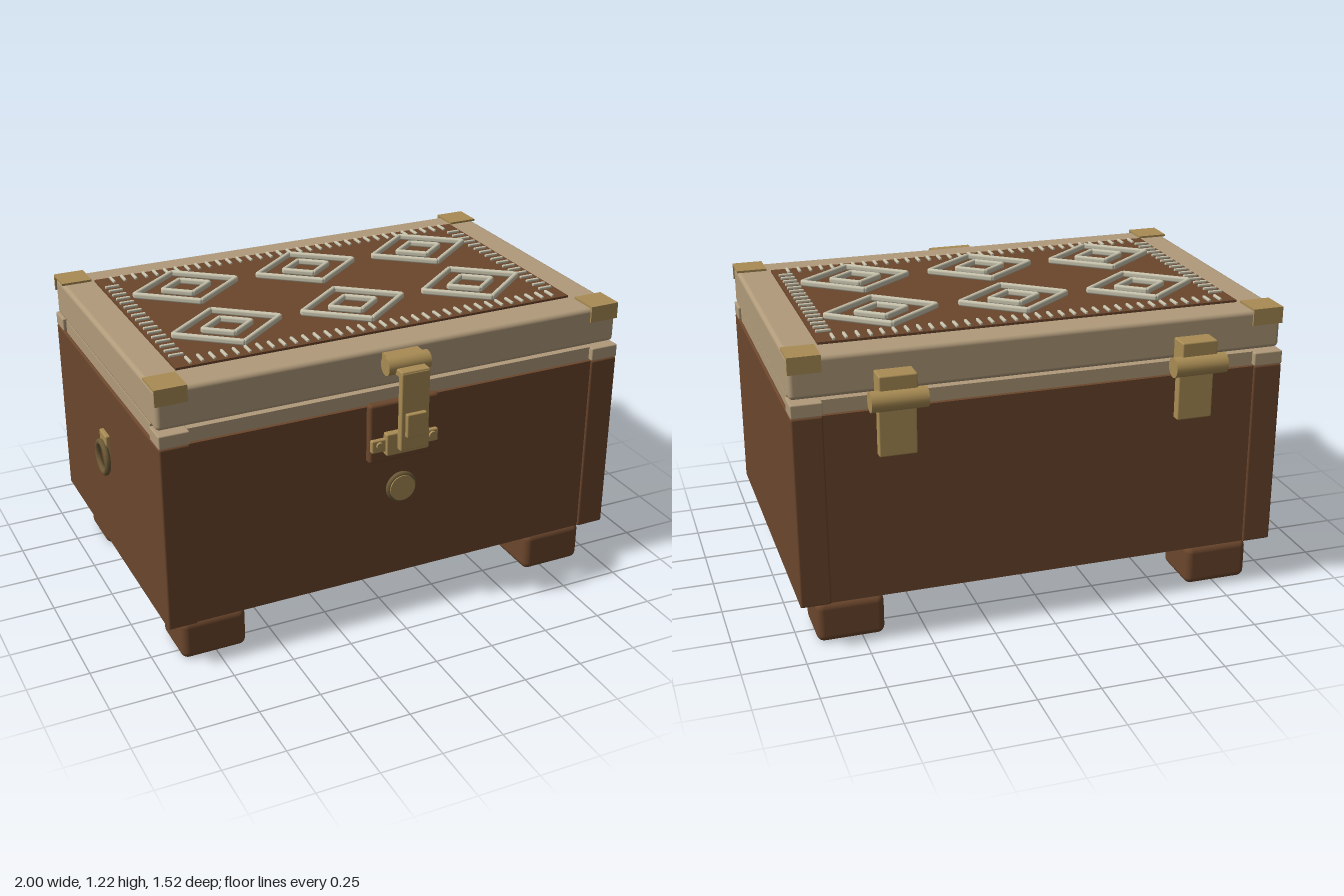
import * as THREE from 'three';
import { RoundedBoxGeometry } from 'three/addons/geometries/RoundedBoxGeometry.js';

const paint = (name, color) => {
  const m = new THREE.MeshStandardMaterial({ color });
  m.name = name;
  return m;
};

export function createModel() {
  const brown = paint('brown wood', 0x6b462c);
  const tan = paint('tan wood', 0xb09a7a);
  const brass = paint('brass', 0xa98c54);
  const darkBrass = paint('dark brass', 0x6b5836);
  const silver = paint('silver inlay', 0xc6c2ac);
  const chest = new THREE.Group();
  chest.name = 'chest';

  const add = (name, geometry, material, x = 0, y = 0, z = 0) => {
    const m = new THREE.Mesh(geometry, material);
    m.name = name;
    m.position.set(x, y, z);
    chest.add(m);
    return m;
  };
  // Box given by its limits, with optional rounded edges
  const box = (name, mat, x0, x1, y0, y1, z0, z1, r = 0) => {
    const w = x1 - x0, h = y1 - y0, d = z1 - z0;
    const g = r ? new RoundedBoxGeometry(w, h, d, 3, r) : new THREE.BoxGeometry(w, h, d);
    return add(name, g, mat, (x0 + x1) / 2, (y0 + y1) / 2, (z0 + z1) / 2);
  };
  // Horizontal barrel along x
  const barrel = (name, mat, x0, x1, y, z, r) => {
    const m = add(name, new THREE.CylinderGeometry(r, r, x1 - x0, 24), mat, (x0 + x1) / 2, y, z);
    m.rotation.z = Math.PI / 2;
    return m;
  };

  // Feet and plinth
  for (const [x0, x1] of [[-0.895, -0.625], [0.66, 0.93]])
    for (const [z0, z1] of [[0.345, 0.58], [-0.62, -0.385]])
      box('foot', brown, x0, x1, 0, 0.17, z0, z1, 0.03);
  box('plinth', brown, -0.885, 0.915, 0.165, 0.205, -0.58, 0.54);

  // Body: end panels over a slightly recessed middle
  box('bodyMiddle', brown, -0.85, 0.885, 0.2, 0.967, -0.669, 0.627);
  for (const [x0, x1] of [[-0.965, -0.845], [0.88, 1.0]]) {
    box('endPanel', brown, x0, x1, 0.197, 0.968, -0.676, 0.634, 0.008);
    // Rim corner blocks
    box('rimCorner', tan, x0, x1, 0.968, 1.022, 0.533, 0.634, 0.005);
    box('rimCorner', tan, x0, x1, 0.968, 1.022, -0.676, -0.577, 0.005);
  }
  box('rimCentre', tan, -0.955, 0.99, 0.967, 1.022, -0.557, 0.518);
  box('rimFront', tan, -0.847, 0.882, 0.967, 1.022, 0.533, 0.612);
  box('rimBack', tan, -0.847, 0.882, 0.967, 1.022, -0.652, -0.577);

  // Lid with inset panel
  box('lid', tan, -0.962, 0.997, 1.028, 1.188, -0.648, 0.608, 0.018);
  box('lidPanel', brown, -0.83, 0.86, 1.16, 1.197, -0.52, 0.465);

  // Folded corner plates on the lid
  for (const [x0, x1] of [[-0.966, -0.84], [0.875, 1.0]])
    for (const s of [1, -1]) {
      const edge = s > 0 ? 0.615 : -0.656;
      const inner = edge - s * 0.125, skin = edge - s * 0.009;
      box('cornerTop', brass, x0, x1, 1.188, 1.197, Math.min(inner, edge), Math.max(inner, edge));
      box('cornerFace', brass, x0, x1, 1.13, 1.197, Math.min(skin, edge), Math.max(skin, edge));
    }

  // Dashed border inlay
  const nx = 34, nz = 17;
  for (let i = 0; i < nx; i++) {
    const x = -0.765 + (1.56 * i) / (nx - 1);
    for (const z of [-0.48, 0.422])
      box('borderDash', silver, x - 0.006, x + 0.006, 1.195, 1.207, z - 0.03, z + 0.03, 0.004);
  }
  for (let i = 0; i < nz; i++) {
    const z = -0.405 + (0.765 * i) / (nz - 1);
    for (const x of [-0.79, 0.815])
      box('borderDash', silver, x - 0.03, x + 0.03, 1.195, 1.207, z - 0.006, z + 0.006, 0.004);
  }

  // Nested diamond inlays made of bars
  const diamond = (cx, cz, a, b) => {
    const pts = [[a, 0], [0, b], [-a, 0], [0, -b]];
    pts.forEach(([x, z], i) => {
      const [u, v] = pts[(i + 1) % 4];
      const bar = add('diamondBar', new RoundedBoxGeometry(Math.hypot(u - x, v - z) + 0.008, 0.026, 0.02, 3, 0.009),
        silver, cx + (x + u) / 2, 1.209, cz + (z + v) / 2);
      bar.rotation.y = -Math.atan2(v - z, u - x);
    });
  };
  for (const cx of [-0.522, 0.016, 0.555])
    for (const cz of [-0.255, 0.2]) {
      diamond(cx, cz, 0.222, 0.176);
      diamond(cx, cz, 0.102, 0.08);
    }

  // Front latch
  box('latchBackplate', brown, -0.135, 0.162, 0.735, 0.985, 0.625, 0.662, 0.012);
  box('latchKeeper', brass, -0.075, 0.108, 0.772, 0.865, 0.655, 0.69, 0.006);
  box('latchKeeperBar', brass, -0.132, 0.155, 0.788, 0.842, 0.655, 0.678, 0.006);
  for (const x of [-0.1, 0.128]) {
    const pin = add('latchRivet', new THREE.CylinderGeometry(0.015, 0.015, 0.02, 16), brass, x, 0.82, 0.678);
    pin.rotation.x = Math.PI / 2;
  }
  box('latchLug', brass, -0.03, 0.06, 0.815, 0.86, 0.68, 0.72);
  box('latchArm', brass, -0.045, 0.075, 0.812, 1.135, 0.715, 0.745, 0.006);
  box('latchArmTop', brass, -0.045, 0.075, 1.11, 1.14, 0.66, 0.743, 0.006);
  box('latchTab', brass, -0.027, 0.057, 0.872, 0.97, 0.74, 0.762, 0.005);
  barrel('latchBarrel', brass, -0.075, 0.105, 1.14, 0.664, 0.036);
  box('latchMount', brass, -0.06, 0.09, 1.118, 1.172, 0.6, 0.66);

  // Round front button
  const button = add('button', new THREE.CylinderGeometry(0.054, 0.054, 0.04, 32), brass, 0.015, 0.6, 0.64);
  button.rotation.x = Math.PI / 2;
  add('buttonRing', new THREE.TorusGeometry(0.055, 0.011, 10, 36), darkBrass, 0.015, 0.6, 0.645);

  // Back hinges
  for (const cx of [-0.582, 0.61]) {
    barrel('hingeBarrel', brass, cx - 0.108, cx + 0.108, 1.02, -0.722, 0.04);
    box('hingeLidBlock', brass, cx - 0.073, cx + 0.073, 1.025, 1.115, -0.728, -0.64, 0.006);
    box('hingePlate', brass, cx - 0.073, cx + 0.073, 0.79, 1.01, -0.705, -0.666, 0.006);
  }

  // Ring pull on the right end
  box('ringMount', brass, -0.982, -0.96, 0.65, 0.74, -0.075, 0.01, 0.006);
  const ring = add('ringPull', new THREE.TorusGeometry(0.064, 0.013, 10, 36), darkBrass, -0.987, 0.633, -0.03);
  ring.rotation.y = Math.PI / 2;

  return chest;
}
